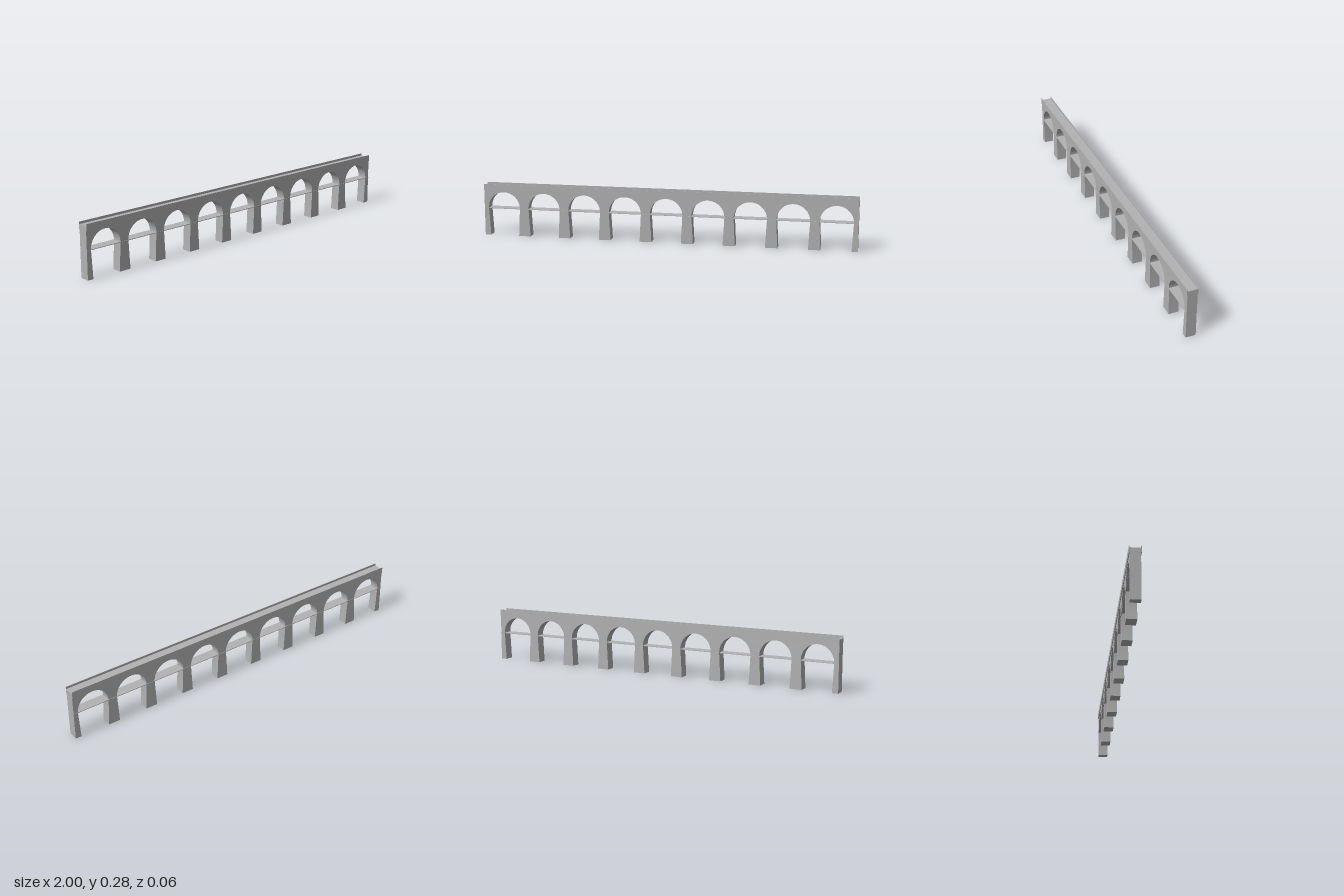
import * as THREE from 'three';
import { toCreasedNormals } from 'three/addons/utils/BufferGeometryUtils.js';

export function createModel() {
  const group = new THREE.Group();
  const stone = new THREE.MeshStandardMaterial({ color: 0xb2b2b2 });
  stone.name = 'grey stone';

  const add = (name, geometry) => {
    const mesh = new THREE.Mesh(geometry, stone);
    mesh.name = name;
    group.add(mesh);
    return mesh;
  };
  const addBox = (name, bottom, top, depth, z = 0) =>
    add(name, new THREE.BoxGeometry(2, top - bottom, depth)).position.set(0, (bottom + top) / 2, z);

  // Arched wall with piers that widen towards the ground
  const arches = 9, spacing = 2 / arches, radius = 0.087, foot = 0.079, spring = 0.15;
  const wallTop = 0.25, wallDepth = 0.052;
  const outline = new THREE.Shape();
  outline.moveTo(-1, 0);
  for (let i = 0; i < arches; i++) {
    const x = (i - (arches - 1) / 2) * spacing;
    outline.lineTo(x - foot, 0);
    outline.lineTo(x - radius, spring);
    outline.absarc(x, spring, radius, Math.PI, 0, true);
    outline.lineTo(x + foot, 0);
  }
  outline.lineTo(1, 0);
  outline.lineTo(1, wallTop);
  outline.lineTo(-1, wallTop);
  outline.closePath();
  const wall = new THREE.ExtrudeGeometry(outline, { depth: wallDepth, bevelEnabled: false, curveSegments: 20 });
  wall.translate(0, 0, -wallDepth / 2);
  add('archedWall', toCreasedNormals(wall, 0.4));

  // Thin lower walkway running through the arches
  addBox('lowerWalkway', 0.147, 0.15, 0.056);

  // Upper deck, projecting beyond the wall, with a thin parapet on each side
  addBox('upperDeck', 0.245, 0.268, 0.059);
  for (const side of [-1, 1]) {
    addBox(side > 0 ? 'frontParapet' : 'backParapet', 0.268, 0.28, 0.002, side * 0.0285);
  }
  return group;
}
